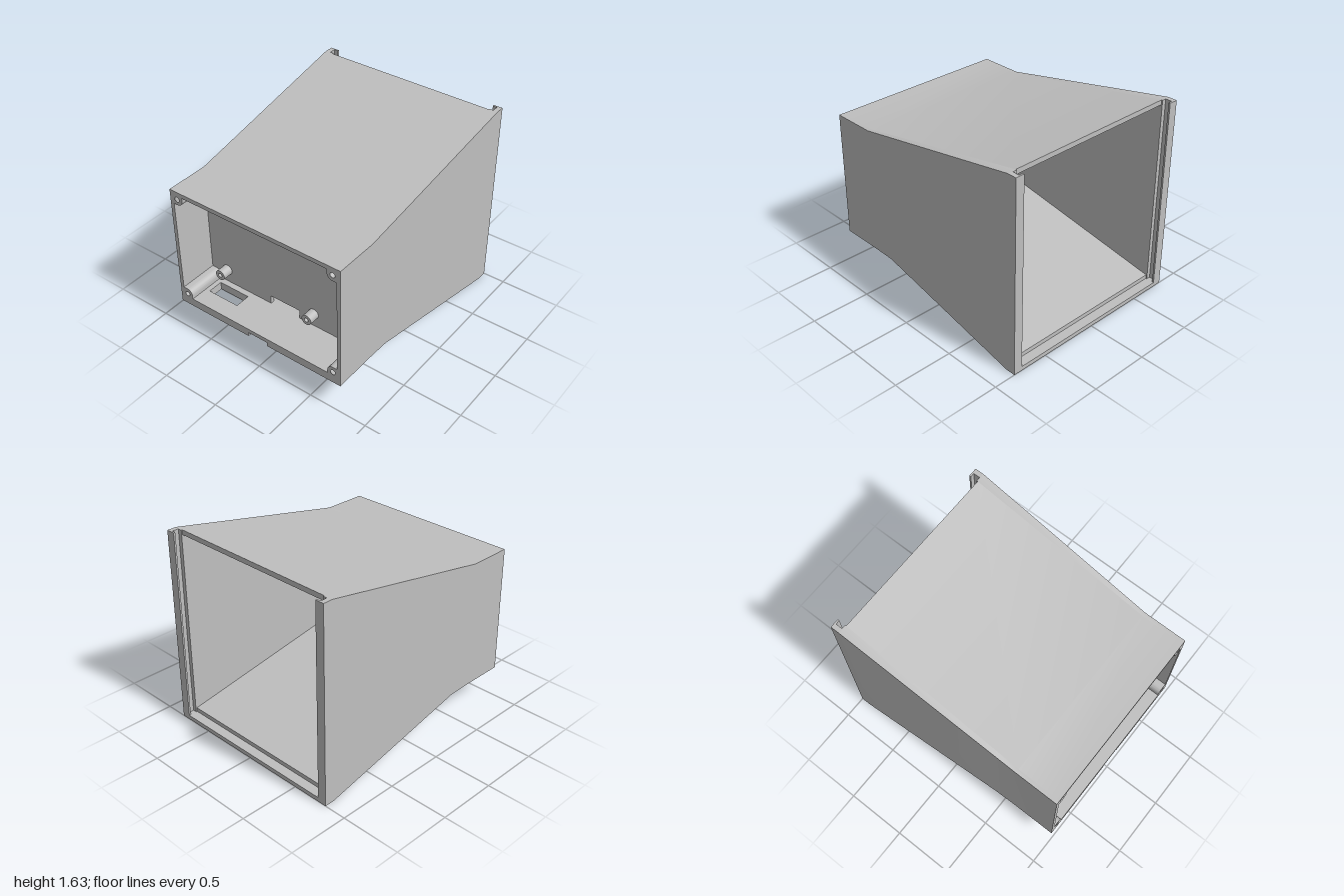
import * as THREE from 'three';
import { toCreasedNormals } from 'three/addons/utils/BufferGeometryUtils.js';

// Piecewise linear curve through [z, value] pairs ordered by falling z
const along = (points) => (z) => {
  for (let i = 1; i < points.length; i++) {
    const [za, a] = points[i - 1], [zb, b] = points[i];
    if (z >= zb) return a + (b - a) * (za - z) / (za - zb);
  }
  return points[points.length - 1][1];
};

const FRONT = 1, BACK = -1, RIM = -0.92, PLATE = 0.635, PLATE_FRONT = 0.67;
const outerX = along([[FRONT, 0.777], [PLATE, 0.777], [RIM, 0.815], [BACK, 0.815]]);
const innerX = along([[FRONT, 0.745], [BACK, 0.74]]);
const bottomY = along([[FRONT, 0.265], [0.44, 0.265], [RIM, 0], [BACK, 0]]);
const topY = along([[FRONT, 1.335], [PLATE, 1.335], [RIM, 1.635], [BACK, 1.635]]);
const floorY = along([[FRONT, 0.335], [PLATE, 0.335], [RIM, 0.07], [BACK, 0.07]]);
const ceilingY = along([[FRONT, 1.3], [PLATE, 1.3], [RIM, 1.595], [BACK, 1.595]]);

// Solid through rectangular sections [z, x0, x1, y0, y1], front to back
function loft(sections) {
  const pos = [], idx = [];
  for (const [z, x0, x1, y0, y1] of sections) {
    pos.push(x0, y0, z, x1, y0, z, x1, y1, z, x0, y1, z);
  }
  for (let i = 0; i < sections.length - 1; i++) {
    for (let k = 0; k < 4; k++) {
      const a = i * 4 + k, b = i * 4 + (k + 1) % 4;
      idx.push(a, a + 4, b, b, a + 4, b + 4);
    }
  }
  const n = (sections.length - 1) * 4;
  idx.push(0, 1, 2, 0, 2, 3, n, n + 2, n + 1, n, n + 3, n + 2);
  const g = new THREE.BufferGeometry();
  g.setAttribute('position', new THREE.Float32BufferAttribute(pos, 3));
  g.setIndex(idx);
  return toCreasedNormals(g, 0.5);
}

const polygon = (pts) => new THREE.Shape(pts.map(([x, y]) => new THREE.Vector2(x, y)));
const circleHole = (x, y, r) => new THREE.Path().absarc(x, y, r, 0, Math.PI * 2, true);
const extrude = (shape, depth) => toCreasedNormals(
  new THREE.ExtrudeGeometry(shape, { depth, bevelEnabled: false, curveSegments: 24 }), 0.5);

export function createModel() {
  const group = new THREE.Group();
  const grey = new THREE.MeshStandardMaterial({ color: 0xbfbfbf });
  grey.name = 'grey plastic';
  const add = (name, geometry) => {
    const mesh = new THREE.Mesh(geometry, grey);
    mesh.name = name;
    group.add(mesh);
    return mesh;
  };

  // Side walls, with a vertical slot near the back for a sliding panel
  const slot = 0.775;
  const wallStations = [[FRONT], [PLATE], [0.44], [RIM], [-0.93], [-0.93, slot],
    [-0.985, slot], [-0.985], [BACK]];
  for (const side of [1, -1]) {
    add(side > 0 ? 'leftWall' : 'rightWall', loft(wallStations.map(([z, inner]) => {
      const a = side * (inner ?? innerX(z)), b = side * outerX(z);
      return [z, Math.min(a, b), Math.max(a, b), bottomY(z), topY(z)];
    })));
  }

  // Roof stops short of the back so the panel can slide in
  add('roof', loft([FRONT, PLATE, RIM].map((z) =>
    [z, -innerX(z), innerX(z), ceilingY(z), topY(z)])));

  // Sloping rear floor ending in a lower ledge
  add('rearFloor', loft([[PLATE], [0.44], [RIM], [RIM, 0.035], [BACK, 0.035]].map(([z, y]) =>
    [z, -slot, slot, bottomY(z), y ?? floorY(z)])));

  // Front floor in two layers: cable opening through both, notch in the lower
  const floorLayer = (name, y, notched) => {
    const lip = notched ? [[0.09, -FRONT], [0.09, -0.93], [-0.09, -0.93], [-0.09, -FRONT]] : [];
    const shape = polygon([[-slot, -FRONT], [-slot, -PLATE], [slot, -PLATE], [slot, -FRONT], ...lip]);
    shape.holes.push(polygon([[-0.62, -0.85], [-0.335, -0.85], [-0.335, -0.72], [-0.62, -0.72]]));
    const g = extrude(shape, 0.035);
    g.rotateX(-Math.PI / 2);
    // shape y became -z
    add(name, g).position.y = y;
  };
  floorLayer('frontFloorLower', 0.265, true);
  floorLayer('frontFloorUpper', 0.3, false);

  // Dividing plate with a cable gap at its foot
  add('dividingPlate', extrude(polygon([
    [-0.76, 0.32], [-0.14, 0.32], [-0.14, 0.41], [0.14, 0.41], [0.14, 0.32],
    [0.76, 0.32], [0.76, 1.315], [-0.76, 1.315],
  ]), PLATE_FRONT - PLATE)).position.z = PLATE;

  // Corner screw posts, rounded toward the opening
  for (const sx of [1, -1]) {
    for (const sy of [1, -1]) {
      const cx = sx * 0.71, cy = sy > 0 ? 1.27 : 0.365, r = 0.05;
      const pts = [[cx + sx * 0.04, cy + sy * 0.035], [cx - sx * r, cy + sy * 0.035]];
      for (let i = 0; i <= 12; i++) {
        const t = i / 12 * Math.PI / 2;
        pts.push([cx - sx * r * Math.cos(t), cy - sy * r * Math.sin(t)]);
      }
      pts.push([cx + sx * 0.04, cy - sy * r]);
      const shape = polygon(pts);
      shape.holes.push(circleHole(cx, cy, 0.021));
      add('cornerPost', extrude(shape, FRONT - PLATE_FRONT)).position.z = PLATE_FRONT;
    }
  }

  // Board standoffs on the dividing plate
  for (const x of [-0.58, 0.28]) {
    for (const y of [0.455, 1.18]) {
      const shape = new THREE.Shape().absarc(0, 0, 0.044, 0, Math.PI * 2, false);
      shape.holes.push(circleHole(0, 0, 0.018));
      add('standoff', extrude(shape, 0.09)).position.set(x, y, PLATE_FRONT);
    }
  }
  return group;
}
